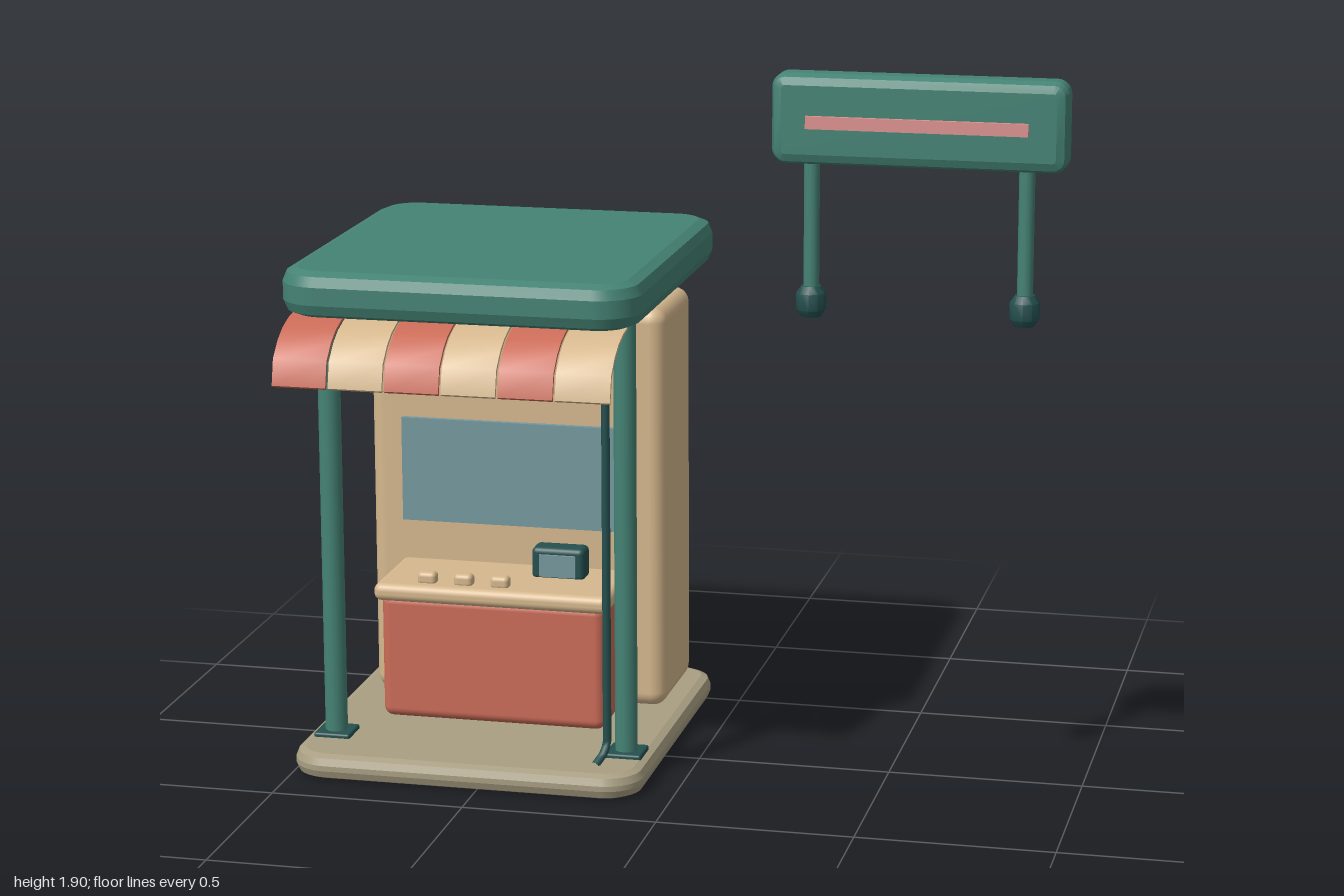
import * as THREE from 'three';
import { toCreasedNormals } from 'three/addons/utils/BufferGeometryUtils.js';
import { RoundedBoxGeometry } from 'three/addons/geometries/RoundedBoxGeometry.js';

const paint = (name, color, side = THREE.FrontSide) => {
  const m = new THREE.MeshStandardMaterial({ color, side });
  m.name = name;
  return m;
};

// Slab with rounded plan corners and bevelled rims, lying flat, centred on its middle
function slabGeometry(w, h, d, r, b) {
  const x = w / 2 - b, y = d / 2 - b, q = r - b;
  const s = new THREE.Shape();
  s.absarc(x - q, y - q, q, 0, Math.PI / 2);
  s.absarc(-x + q, y - q, q, Math.PI / 2, Math.PI);
  s.absarc(-x + q, -y + q, q, Math.PI, Math.PI * 1.5);
  s.absarc(x - q, -y + q, q, Math.PI * 1.5, Math.PI * 2);
  s.closePath();
  const g = new THREE.ExtrudeGeometry(s, {
    depth: h - 2 * b, bevelSize: b, bevelThickness: b, bevelSegments: 2, curveSegments: 8,
  });
  g.translate(0, 0, b - h / 2).rotateX(-Math.PI / 2);
  return toCreasedNormals(g, 0.3);
}

export function createModel() {
  const model = new THREE.Group();
  model.name = 'kiosk';
  const teal = paint('teal', 0x458375);
  const darkTeal = paint('dark teal', 0x24504f);
  const beige = paint('beige', 0xd6b88e);
  const red = paint('red', 0xcb6c58);
  const stone = paint('stone', 0xa99f83);
  const glass = paint('glass', 0x76999f);
  const pink = paint('pink', 0xdd9290);

  const add = (name, geo, mat, x, y, z, parent = model) => {
    const m = new THREE.Mesh(geo, mat);
    m.name = name;
    m.position.set(x, y, z);
    parent.add(m);
    return m;
  };
  // Rounded block given by its min and max corners
  const block = (name, mat, x0, x1, y0, y1, z0, z1, r = 0) => {
    const w = x1 - x0, h = y1 - y0, d = z1 - z0;
    const g = r ? new RoundedBoxGeometry(w, h, d, 3, r) : new THREE.BoxGeometry(w, h, d);
    return add(name, g, mat, (x0 + x1) / 2, (y0 + y1) / 2, (z0 + z1) / 2);
  };
  const midX = -0.54;

  // Floor and roof
  add('floor', slabGeometry(0.92, 0.066, 0.97, 0.1, 0.026), stone, midX, 0.033, -0.1);
  add('roof', slabGeometry(0.925, 0.118, 1.0, 0.11, 0.036), teal, midX, 1.271, -0.1);
  block('ceilingPanel', darkTeal, -0.93, -0.15, 1.203, 1.214, -0.51, 0.28);
  for (const x of [-0.8, -0.28]) {
    add('ceilingLamp', new THREE.CylinderGeometry(0.05, 0.05, 0.014, 20), beige, x, 1.198, 0.12);
  }

  // Back cabinet with its window
  block('cabinet', beige, -0.94, -0.14, 0.06, 1.145, -0.53, -0.2, 0.04);
  block('window', glass, -0.85, -0.23, 0.545, 0.825, -0.2, -0.185);

  // Front posts on foot plates
  for (const x of [-0.926, -0.15]) {
    add('post', new THREE.CylinderGeometry(0.029, 0.029, 1.15, 16), teal, x, 0.64, 0.188);
    block('postFoot', darkTeal, x - 0.048, x + 0.048, 0.06, 0.077, 0.14, 0.236, 0.006);
  }

  // Cable running down beside the left post
  const path = new THREE.CurvePath();
  const knots = [[-0.184, 1.21, 0.255], [-0.184, 0.11, 0.255], [-0.192, 0.085, 0.27], [-0.205, 0.066, 0.3]]
    .map(p => new THREE.Vector3(...p));
  for (let i = 0; i < 3; i++) path.add(new THREE.LineCurve3(knots[i], knots[i + 1]));
  add('cable', new THREE.TubeGeometry(path, 60, 0.011, 8), darkTeal, 0, 0, 0);

  // Counter, buttons and till
  block('counter', red, -0.84, -0.24, 0.075, 0.41, -0.18, 0.062, 0.026);
  block('counterTop', beige, -0.855, -0.225, 0.395, 0.442, -0.2, 0.082, 0.02);
  for (const x of [-0.72, -0.622, -0.524]) {
    block('counterButton', beige, x - 0.025, x + 0.025, 0.435, 0.47, 0.008, 0.046, 0.012);
  }
  block('till', darkTeal, -0.468, -0.326, 0.435, 0.522, -0.14, -0.073, 0.014);
  block('tillScreen', glass, -0.445, -0.348, 0.446, 0.505, -0.075, -0.066);

  // Striped awning: a curved thin strip for each stripe
  const outer = [[0.32, 1.214], [0.36, 1.208], [0.41, 1.192], [0.45, 1.168], [0.488, 1.13], [0.503, 1.065]];
  const inner = outer.map(([z, y]) => [z - 0.007, y - 0.005]).reverse();
  const section = new THREE.Shape([...outer, ...inner].map(([z, y]) => new THREE.Vector2(-z, y)));
  const awning = new THREE.Group();
  awning.name = 'awning';
  model.add(awning);
  const pitch = 0.1445;
  for (let i = 0; i < 6; i++) {
    const g = new THREE.ExtrudeGeometry(section, { depth: pitch - 0.006, bevelEnabled: false });
    g.rotateY(Math.PI / 2);
    add('awningStripe', toCreasedNormals(g, 0.7), i % 2 ? beige : red, -0.975 + i * pitch + 0.003, 0, 0, awning);
  }

  // Separate sign board on two legs
  const board = slabGeometry(0.7, 0.096, 0.215, 0.035, 0.026).rotateX(Math.PI / 2);
  add('signBoard', board, teal, 0.65, 1.793, 0.539);
  block('signBar', pink, 0.385, 0.91, 1.774, 1.804, 0.585, 0.598);
  for (const x of [0.392, 0.902]) {
    add('signLeg', new THREE.CylinderGeometry(0.019, 0.019, 0.33, 12), teal, x, 1.535, 0.54);
    const foot = [[0, -0.037], [0.024, -0.037], [0.036, -0.02], [0.036, 0.02], [0.024, 0.037], [0, 0.037]]
      .map(p => new THREE.Vector2(...p));
    add('signFoot', toCreasedNormals(new THREE.LatheGeometry(foot, 10), 0.65), darkTeal, x, 1.353, 0.54);
  }
  return model;
}
